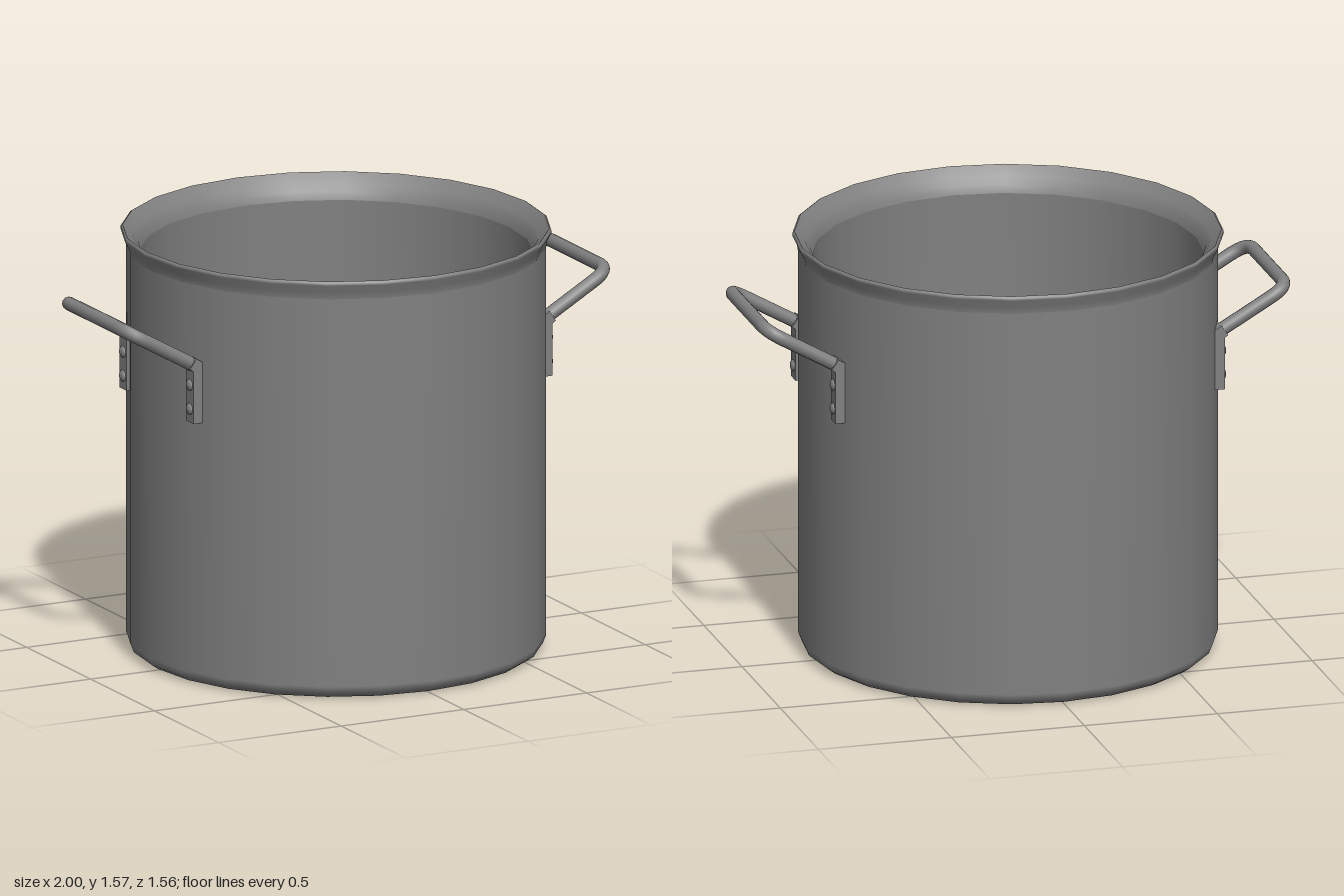
import * as THREE from 'three';

const steel = new THREE.MeshStandardMaterial({ color: 0x808080 });
steel.name = 'steel grey';

function part(geometry, name, parent) {
  const mesh = new THREE.Mesh(geometry, steel);
  mesh.name = name;
  parent.add(mesh);
  return mesh;
}

function lathe(points, name, parent) {
  return part(new THREE.LatheGeometry(points.map(p => new THREE.Vector2(...p)), 24), name, parent);
}

// Straight runs joined by rounded corners
function roundedPath(points, radius) {
  const path = new THREE.CurvePath();
  let from = points[0];
  for (let i = 1; i < points.length - 1; i++) {
    const p = points[i];
    const enter = p.clone().add(points[i - 1].clone().sub(p).setLength(radius));
    const leave = p.clone().add(points[i + 1].clone().sub(p).setLength(radius));
    path.add(new THREE.LineCurve3(from, enter));
    path.add(new THREE.QuadraticBezierCurve3(enter, p, leave));
    from = leave;
  }
  path.add(new THREE.LineCurve3(from, points[points.length - 1]));
  return path;
}

function makeHandle(name) {
  const handle = new THREE.Group();
  handle.name = name;
  const z = 0.261;

  // Round bar rising outward from the wall
  const path = roundedPath([
    new THREE.Vector3(0.695, 1.19, z),
    new THREE.Vector3(0.977, 1.352, z),
    new THREE.Vector3(0.977, 1.352, -z),
    new THREE.Vector3(0.695, 1.19, -z),
  ], 0.075);
  part(new THREE.TubeGeometry(path, 64, 0.025, 12, false), 'handleBar', handle);

  for (const side of [1, -1]) {
    // Flat mounting strap, its top bent along the bar
    const profile = new THREE.Shape([
      [0.695, 0.99], [0.732, 0.99], [0.732, 1.185], [0.745, 1.195],
      [0.72, 1.232], [0.695, 1.217],
    ].map(p => new THREE.Vector2(...p)));
    const strap = part(new THREE.ExtrudeGeometry(profile, { depth: 0.058, bevelEnabled: false }),
      'handleStrap', handle);
    strap.position.z = side * z - 0.029;

    // Domed rivets
    for (const y of [1.04, 1.13]) {
      const dome = new THREE.SphereGeometry(0.022, 12, 5, 0, Math.PI * 2, 0, Math.PI / 2);
      dome.scale(1, 0.6, 1).rotateZ(-Math.PI / 2);
      const rivet = part(dome, 'rivet', handle);
      rivet.position.set(0.731, y, side * z);
    }
  }
  return handle;
}

export function createModel() {
  const model = new THREE.Group();
  model.name = 'stockPot';

  // Outside: base, rounded edge and wall
  lathe([[0, 0], [0.70, 0], [0.725, 0.004], [0.748, 0.02], [0.76, 0.05],
    [0.76, 1.50]], 'outerWall', model);
  // Flared rim
  lathe([[0.76, 1.50], [0.764, 1.525], [0.78, 1.555], [0.779, 1.565], [0.772, 1.57]], 'rimOutside', model);
  lathe([[0.772, 1.57], [0.735, 1.535], [0.717, 1.51], [0.708, 1.48]], 'rimInside', model);
  // Inside: wall, rounded edge and floor
  lathe([[0.708, 1.48], [0.708, 0.10], [0.697, 0.07], [0.67, 0.05], [0, 0.05]], 'innerWall', model);

  // A handle on each side
  model.add(makeHandle('leftHandle'));
  const right = makeHandle('rightHandle');
  right.rotation.y = Math.PI;
  model.add(right);

  return model;
}
